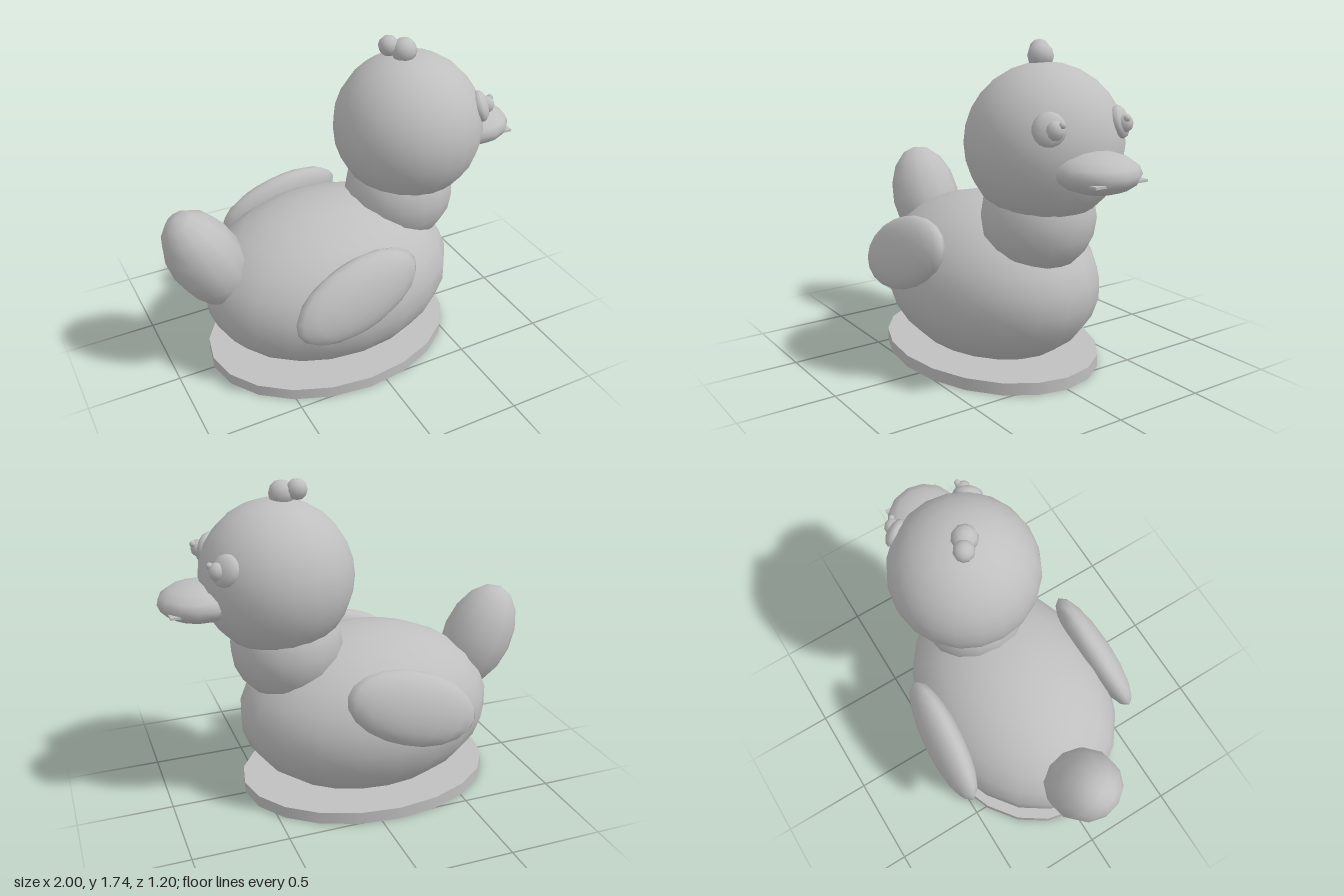
import * as THREE from 'three';

export function createModel() {
  const group = new THREE.Group();
  group.name = 'toyDuck';
  const grey = new THREE.MeshStandardMaterial({ color: 0xbfbfbf });
  grey.name = 'plain grey';

  function add(name, geometry, [x, y, z], parent = group) {
    const mesh = new THREE.Mesh(geometry, grey);
    mesh.name = name;
    mesh.position.set(x, y, z);
    parent.add(mesh);
    return mesh;
  }
  function ellipsoid(name, center, [rx, ry, rz], across = 12, rows = 8) {
    return add(name, new THREE.SphereGeometry(1, across, rows).scale(rx, ry, rz), center);
  }

  // Oval stand, with a small gap below the body
  add('stand', new THREE.CylinderGeometry(1, 1, 0.065, 20).scale(0.7, 1, 0.53), [-0.1, 0.0325, 0]);

  // Body: ellipsoid cut flat underneath
  const cut = Math.acos(-0.34 / 0.455);
  add('body', new THREE.SphereGeometry(1, 20, 10, 0, Math.PI * 2, 0, cut).scale(0.704, 0.455, 0.534), [-0.1, 0.44, 0]);
  const rim = Math.sin(cut);
  add('bodyUnderside',
    new THREE.CircleGeometry(rim, 20).rotateX(Math.PI / 2).scale(0.704, 1, 0.534), [-0.1, 0.1, 0]);

  // Neck and head
  ellipsoid('neck', [0.342, 0.86, 0], [0.298, 0.3, 0.295], 16, 10);
  ellipsoid('head', [0.385, 1.235, 0], [0.4, 0.4, 0.4], 20, 14);

  // Upturned tail
  ellipsoid('tail', [-0.79, 0.74, 0], [0.19, 0.31, 0.2], 12, 8).rotation.z = 0.436;

  // Bill with a thin mouth plate whose corners poke out
  ellipsoid('bill', [0.785, 1.155, 0], [0.213, 0.1, 0.207], 14, 8);
  add('mouthPlate', new THREE.BoxGeometry(0.24, 0.012, 0.31), [0.84, 1.13, 0]);

  // Tuft on the crown
  ellipsoid('tuftFront', [0.347, 1.66, 0], [0.068, 0.066, 0.068], 10, 6);
  ellipsoid('tuftBack', [0.28, 1.682, -0.043], [0.054, 0.054, 0.054], 10, 6);

  for (const side of [1, -1]) {
    const prefix = side > 0 ? 'near' : 'far';

    // Wing: raised at the front, top leaning inward
    const wing = ellipsoid(prefix + 'Wing', [-0.17, 0.617, 0.495 * side], [0.363, 0.194, 0.096], 16, 10);
    wing.rotation.set(-0.218 * side, 0, 0.32);

    // Eye disc lying on the head, then pupil and glint
    const eye = ellipsoid(prefix + 'Eye', [0.695, 1.362, 0.213 * side], [0.08, 0.083, 0.042], 12, 8);
    const outward = new THREE.Vector3(0.31, 0.125, 0.213 * side).normalize();
    eye.quaternion.setFromUnitVectors(new THREE.Vector3(0, 0, 1), outward);
    ellipsoid(prefix + 'Pupil', [0.732, 1.36, 0.208 * side], [0.044, 0.047, 0.044], 10, 6);
    ellipsoid(prefix + 'Glint', [0.765, 1.388, 0.193 * side], [0.017, 0.017, 0.017], 8, 6);
  }

  return group;
}
